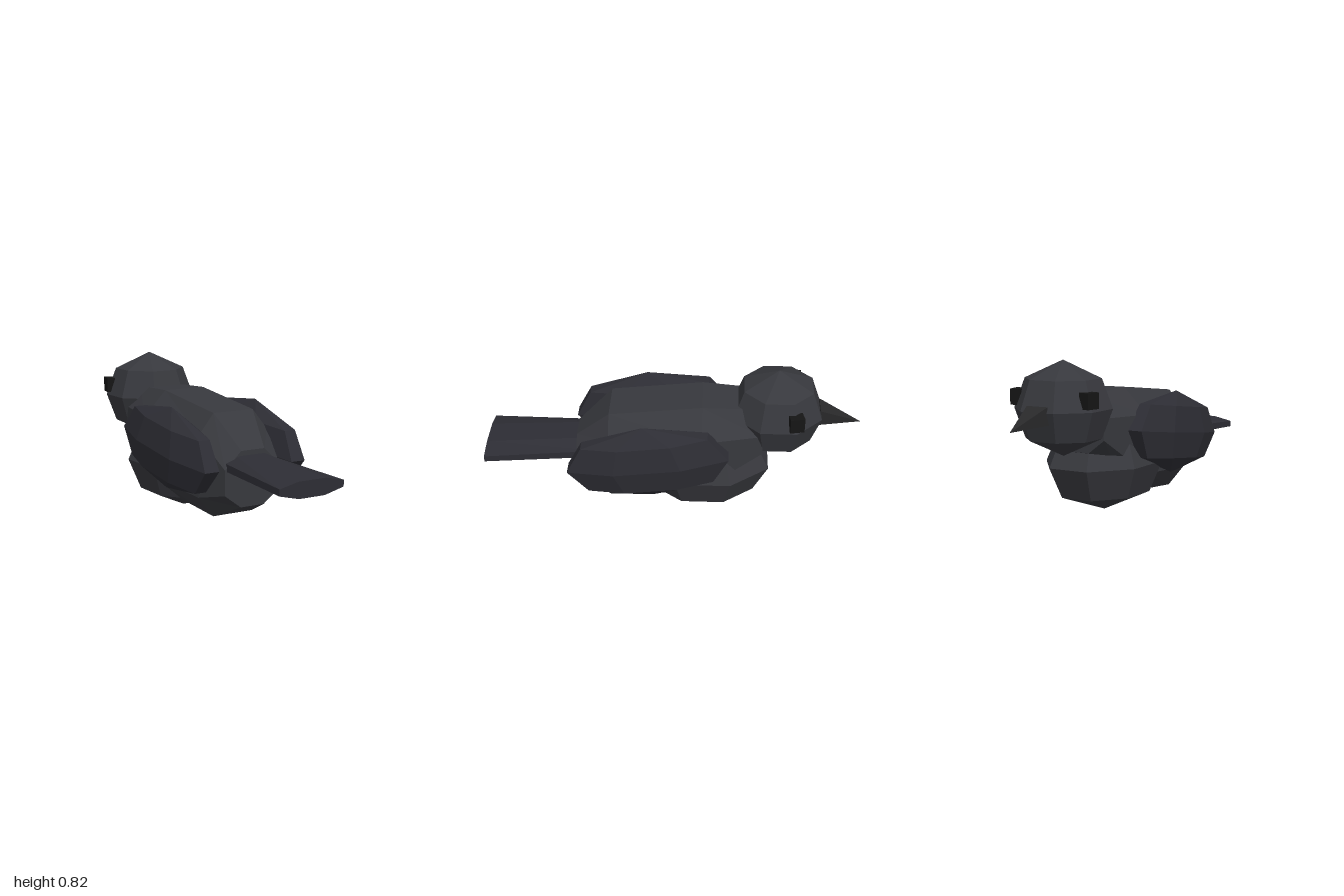
import * as THREE from 'three';
import { ConvexGeometry } from 'three/addons/geometries/ConvexGeometry.js';

const material = color => new THREE.MeshStandardMaterial({ color, flatShading: true, roughness: 0.9 });
const plumage = material(0x37383d);
const wingMat = material(0x2d2d34);
const beakMat = material(0x29292a);
const eyeMat = material(0x151515);

function part(name, geometry, mat) {
  const mesh = new THREE.Mesh(geometry, mat);
  mesh.name = name;
  return mesh;
}

// Eight-sided faceted ball; rx and rz are measured to the flats.
function facetedBall(rx, ry, rz) {
  const profile = [[0, -1], [0.78, -0.625], [1, 0], [0.78, 0.625], [0, 1]]
    .map(([r, y]) => new THREE.Vector2(r / Math.cos(Math.PI / 8), y));
  return new THREE.LatheGeometry(profile, 8, Math.PI / 8).scale(rx, ry, rz).toNonIndexed();
}

// Mirrored octagon, counterclockwise seen from +z.
function octagon({ z, xTop, yTop, xSide, yUpper, yLower, xBottom, yBottom }) {
  return [
    [xTop, yTop, z], [-xTop, yTop, z], [-xSide, yUpper, z], [-xSide, yLower, z],
    [-xBottom, yBottom, z], [xBottom, yBottom, z], [xSide, yLower, z], [xSide, yUpper, z],
  ];
}

// Skin over rings ordered from -z to +z, closed at both ends.
function loft(rings) {
  const n = rings[0].length;
  const positions = rings.flat(2);
  const index = [];
  for (let i = 0; i < rings.length - 1; i++) {
    for (let j = 0; j < n; j++) {
      const a = i * n + j, b = i * n + (j + 1) % n;
      index.push(a, b, b + n, a, b + n, a + n);
    }
  }
  const last = (rings.length - 1) * n;
  for (let j = 1; j < n - 1; j++) {
    index.push(0, j + 1, j);
    index.push(last, last + j, last + j + 1);
  }
  const geometry = new THREE.BufferGeometry();
  geometry.setAttribute('position', new THREE.Float32BufferAttribute(positions, 3));
  geometry.setIndex(index);
  const flat = geometry.toNonIndexed();
  flat.computeVertexNormals();
  return flat;
}

export function createModel() {
  const bird = new THREE.Group();
  bird.name = 'bird';

  // Body: neck end, shoulders, rump, tail end
  bird.add(part('body', loft([
    octagon({ z: -0.48, xTop: 0.1, yTop: 0.64, xSide: 0.19, yUpper: 0.53, yLower: 0.42, xBottom: 0.1, yBottom: 0.35 }),
    octagon({ z: -0.16, xTop: 0.12, yTop: 0.655, xSide: 0.25, yUpper: 0.52, yLower: 0.21, xBottom: 0.13, yBottom: 0.1 }),
    octagon({ z: 0.33, xTop: 0.12, yTop: 0.6, xSide: 0.21, yUpper: 0.49, yLower: 0.17, xBottom: 0.12, yBottom: 0.06 }),
    octagon({ z: 0.51, xTop: 0.07, yTop: 0.43, xSide: 0.165, yUpper: 0.34, yLower: 0.21, xBottom: 0.07, yBottom: 0.14 }),
  ]), plumage));

  // Breast
  const breast = part('breast', facetedBall(0.27, 0.26, 0.35), plumage);
  breast.position.set(0, 0.26, -0.17);
  bird.add(breast);

  // Head
  const head = part('head', facetedBall(0.23, 0.24, 0.23), plumage);
  head.position.set(0, 0.58, -0.555);
  bird.add(head);

  // Beak: square base tapering to a low tip
  const beakPoints = [[0.06, 0.61, -0.78], [-0.06, 0.61, -0.78], [0.06, 0.52, -0.76], [-0.06, 0.52, -0.76], [0, 0.51, -1]];
  bird.add(part('beak', new ConvexGeometry(beakPoints.map(p => new THREE.Vector3(...p))), beakMat));

  // Tail, widening and thinning toward the back
  bird.add(part('tail', loft([
    octagon({ z: 0.4, xTop: 0.07, yTop: 0.412, xSide: 0.145, yUpper: 0.375, yLower: 0.335, xBottom: 0.07, yBottom: 0.3 }),
    octagon({ z: 1, xTop: 0.08, yTop: 0.373, xSide: 0.187, yUpper: 0.35, yLower: 0.317, xBottom: 0.075, yBottom: 0.29 }),
  ]), wingMat));

  // Wings and eyes, mirrored
  for (const side of [1, -1]) {
    const label = side > 0 ? 'left' : 'right';
    const wing = part(label + 'Wing', facetedBall(0.1, 0.22, 0.425), wingMat);
    wing.position.set(side * 0.26, 0.4, 0.12);
    wing.rotation.x = 0.125;
    bird.add(wing);

    const eye = part(label + 'Eye', new THREE.BoxGeometry(0.06, 0.08, 0.075), eyeMat);
    eye.position.set(side * 0.206, 0.636, -0.643);
    eye.rotation.y = side * 0.2;
    bird.add(eye);
  }

  return bird;
}
